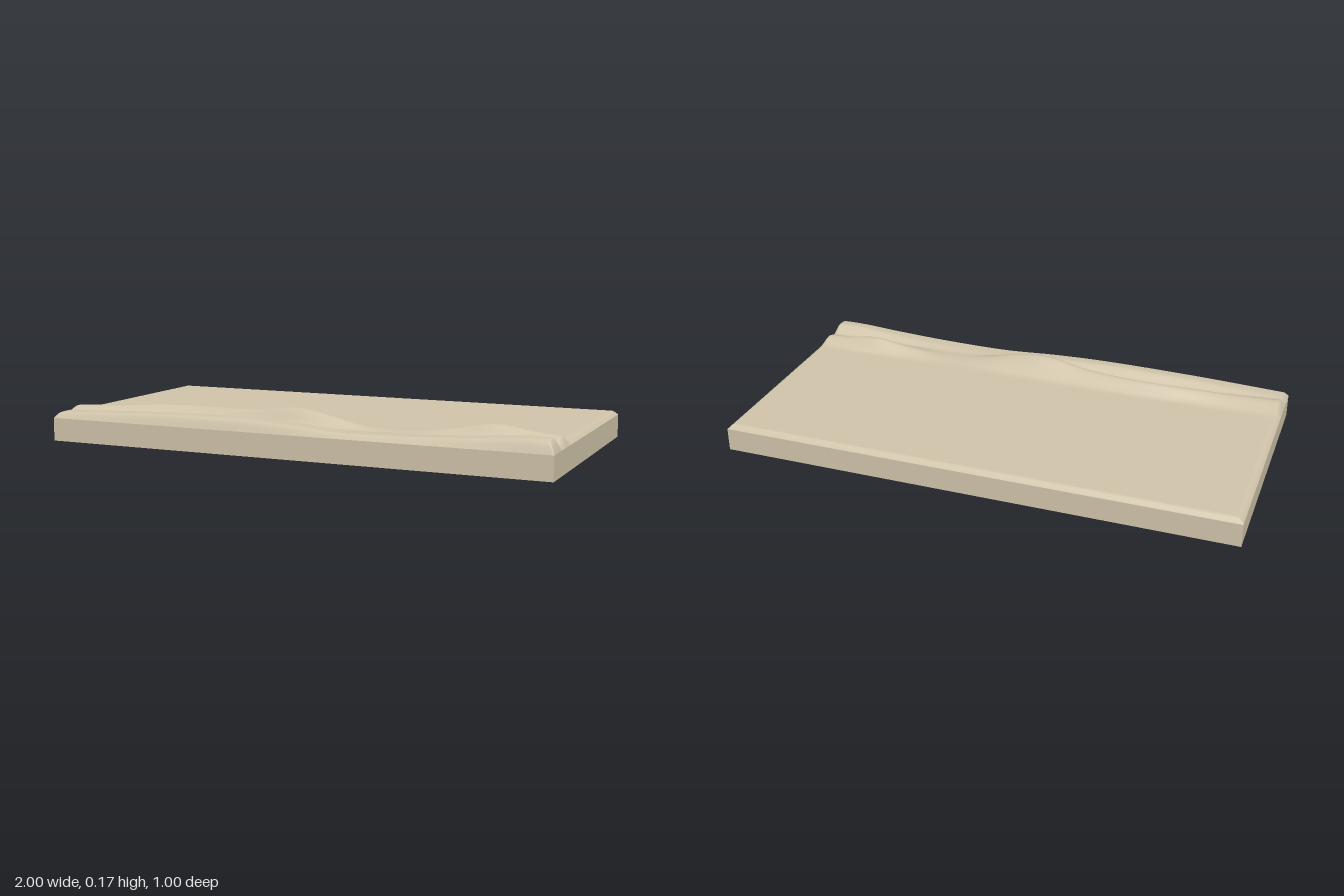
import * as THREE from 'three';

const BASE = 0.09, TOP = 0.107;

// Smooth curve through [x, value] pairs
function curve(points) {
  const spline = new THREE.CubicInterpolant(points.map(p => p[0]), points.map(p => p[1]), 1);
  return x => spline.evaluate(x)[0];
}

// Crest height above the flat top, and crest position in z, along the slab
const mainHeight = curve([[-1, 0.018], [-0.8, 0.026], [-0.6, 0.038], [-0.2, 0.045], [0, 0.065],
  [0.14, 0.043], [0.28, 0.011], [0.45, 0.006], [0.6, 0.026], [0.75, 0.048], [0.88, 0.031], [1, 0.018]]);
const mainZ = curve([[-1, 0.37], [-0.75, 0.335], [-0.5, 0.31], [-0.25, 0.325], [0, 0.36],
  [0.2, 0.37], [0.4, 0.335], [0.75, 0.32], [1, 0.325]]);
const frontHeight = curve([[-1, 0.006], [-0.6, 0.023], [-0.2, 0.028], [0, 0.02], [0.2, 0.005],
  [0.45, 0.006], [0.7, 0.018], [0.9, 0.032], [1, 0.031]]);

// Rounded hump with separate back and front widths
function hump(d, back, front) {
  const t = Math.min(1, Math.abs(d) / (d < 0 ? back : front));
  return 0.5 + 0.5 * Math.cos(Math.PI * t);
}

function surfaceHeight(x, z) {
  const crest = mainZ(x);
  const main = mainHeight(x) * hump(z - crest, Math.max(0.05, crest - 0.26), 0.07);
  const front = frontHeight(x) * hump(z - 0.435, 0.05, 0.16);
  const relief = Math.hypot(main, front);
  // quarter-round rim
  const edge = Math.min(1, (1 - Math.abs(x)) / 0.025, (0.5 - Math.abs(z)) / 0.022);
  return BASE + (TOP - BASE + relief) * Math.sin(Math.max(0, edge) * Math.PI / 2);
}

export function createModel() {
  const group = new THREE.Group();
  group.name = 'reliefSlab';
  const stone = new THREE.MeshStandardMaterial({ color: 0xd0c4aa });
  stone.name = 'sandstone';

  // Plain block
  const base = new THREE.Mesh(new THREE.BoxGeometry(2, BASE, 1), stone);
  base.name = 'baseBlock';
  base.position.y = BASE / 2;
  group.add(base);

  // Sculpted top, with grid lines gathered toward the rim
  const geometry = new THREE.PlaneGeometry(2, 2, 120, 110).rotateX(-Math.PI / 2);
  const gather = u => u + 0.8 * Math.sin(Math.PI * u) / Math.PI;
  const pos = geometry.attributes.position;
  for (let i = 0; i < pos.count; i++) {
    const x = gather(pos.getX(i)), z = gather(pos.getZ(i)) / 2;
    pos.setXYZ(i, x, surfaceHeight(x, z), z);
  }
  geometry.computeVertexNormals();
  const top = new THREE.Mesh(geometry, stone);
  top.name = 'ridgedTop';
  group.add(top);

  return group;
}
